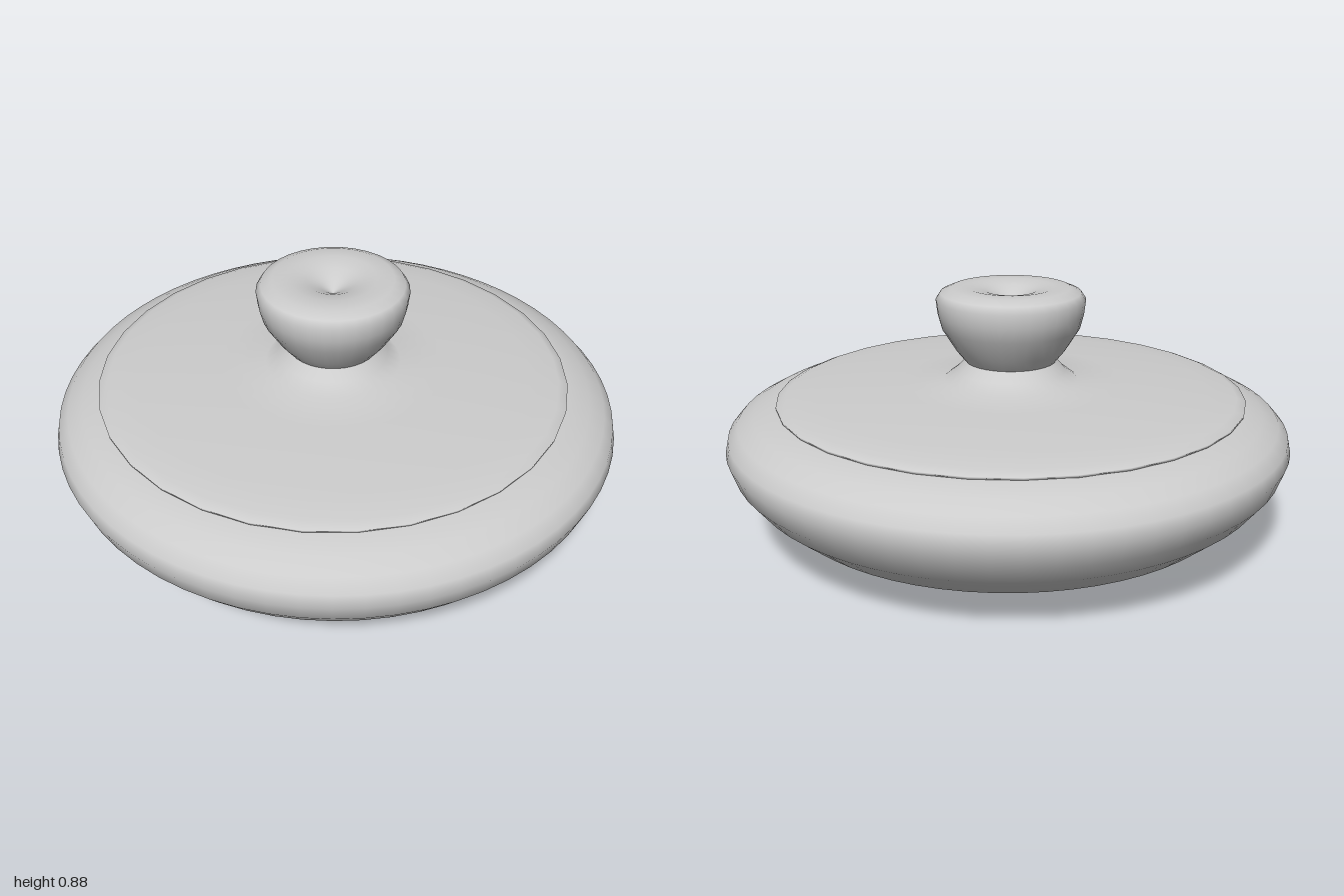
import * as THREE from 'three';

const material = new THREE.MeshStandardMaterial({ color: 0xcccccc, side: THREE.DoubleSide });

// Smooth turned part from [radius, height] pairs, listed bottom to top
function turned(name, profile, segments) {
  const points = profile.map(([r, y]) => new THREE.Vector2(r, y));
  const mesh = new THREE.Mesh(new THREE.LatheGeometry(points, segments), material);
  mesh.name = name;
  return mesh;
}

export function createModel() {
  const group = new THREE.Group();
  group.name = 'liddedDish';

  // Shallow bowl with a rounded shoulder that turns in under the lid
  group.add(turned('bowl', [
    [0, 0], [0.3, 0], [0.57, 0.005], [0.69, 0.05], [0.82, 0.12], [0.92, 0.205],
    [0.975, 0.275], [1, 0.345], [0.99, 0.39], [0.955, 0.43], [0.9, 0.46],
    [0.83, 0.487], [0.78, 0.485],
  ], 64));

  // Lid sits very slightly off the bowl's centre
  const lid = new THREE.Group();
  lid.name = 'lid';
  lid.position.x = -0.01;
  lid.add(turned('lidPlate', [
    [0.8, 0.482], [0.83, 0.486], [0.832, 0.495], [0.8, 0.508], [0.7, 0.519],
    [0.55, 0.531], [0.4, 0.539], [0.24, 0.546], [0.195, 0.58], [0.16, 0.615],
  ], 32));

  // Flared knob with a dimple in its top
  lid.add(turned('knob', [
    [0.16, 0.612], [0.195, 0.655], [0.245, 0.735], [0.258, 0.785], [0.264, 0.835],
    [0.248, 0.86], [0.21, 0.876], [0.15, 0.877], [0.09, 0.865], [0.04, 0.84], [0, 0.815],
  ], 32));
  group.add(lid);

  return group;
}
